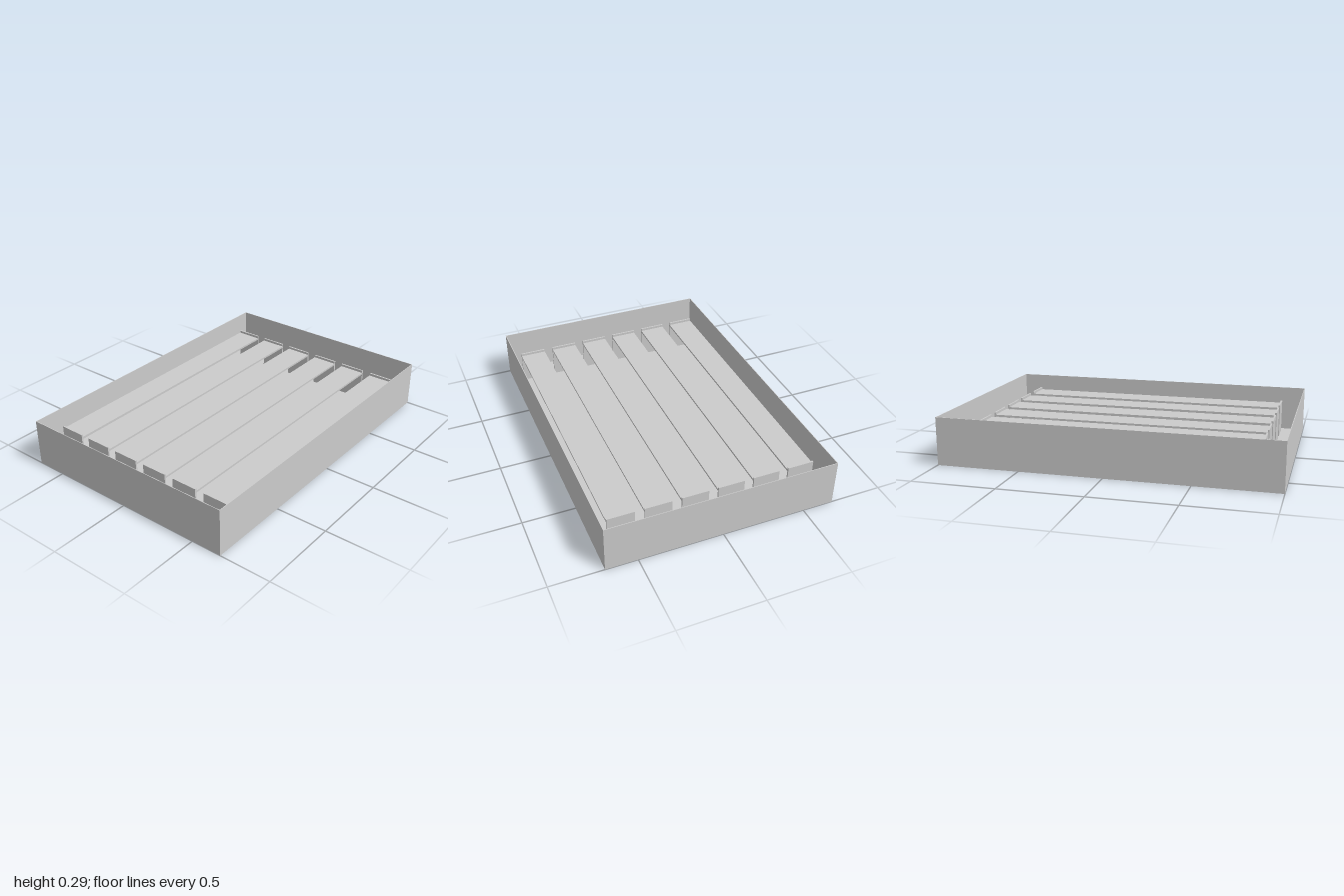
import * as THREE from 'three';

const W = 1.374, H = 0.287, L = 2;        // tray size
const BARS = 6, PITCH = 0.217;            // slat spacing
const BAR_W = 0.16, BAR_L = 1.72, BAR_TOP = 0.21;
const CAP = 0.01, INSET = 0.015;          // end cap thickness, slat drop below the caps
const T = 0.004;                          // sheet thickness

export function createModel() {
  const group = new THREE.Group();
  const material = new THREE.MeshStandardMaterial({ color: 0xcccccc, flatShading: true });

  const box = (parent, name, size, pos) => {
    const mesh = new THREE.Mesh(new THREE.BoxGeometry(...size), material);
    mesh.name = name;
    mesh.position.set(...pos);
    parent.add(mesh);
  };

  // Open tray: floor and four thin walls
  const tray = new THREE.Group();
  tray.name = 'tray';
  group.add(tray);
  box(tray, 'trayFloor', [W, T, L], [0, T / 2, 0]);
  for (const s of [-1, 1]) {
    box(tray, 'sideWall', [T, H, L], [s * (W - T) / 2, H / 2, 0]);
    box(tray, 'endWall', [W - 2 * T, H, T], [0, H / 2, s * (L - T) / 2]);
  }

  // Row of long thin slats, each held between two upright end caps
  for (let i = 0; i < BARS; i++) {
    const x = (i - (BARS - 1) / 2) * PITCH;
    const slat = new THREE.Group();
    slat.name = 'slat';
    group.add(slat);
    const thick = 0.012;
    box(slat, 'slatTop', [BAR_W, thick, BAR_L - 2 * CAP], [x, BAR_TOP - INSET - thick / 2, 0]);
    for (const s of [-1, 1]) {
      box(slat, 'endCap', [BAR_W, BAR_TOP - T, CAP], [x, (BAR_TOP + T) / 2, s * (BAR_L - CAP) / 2]);
    }
  }
  return group;
}
